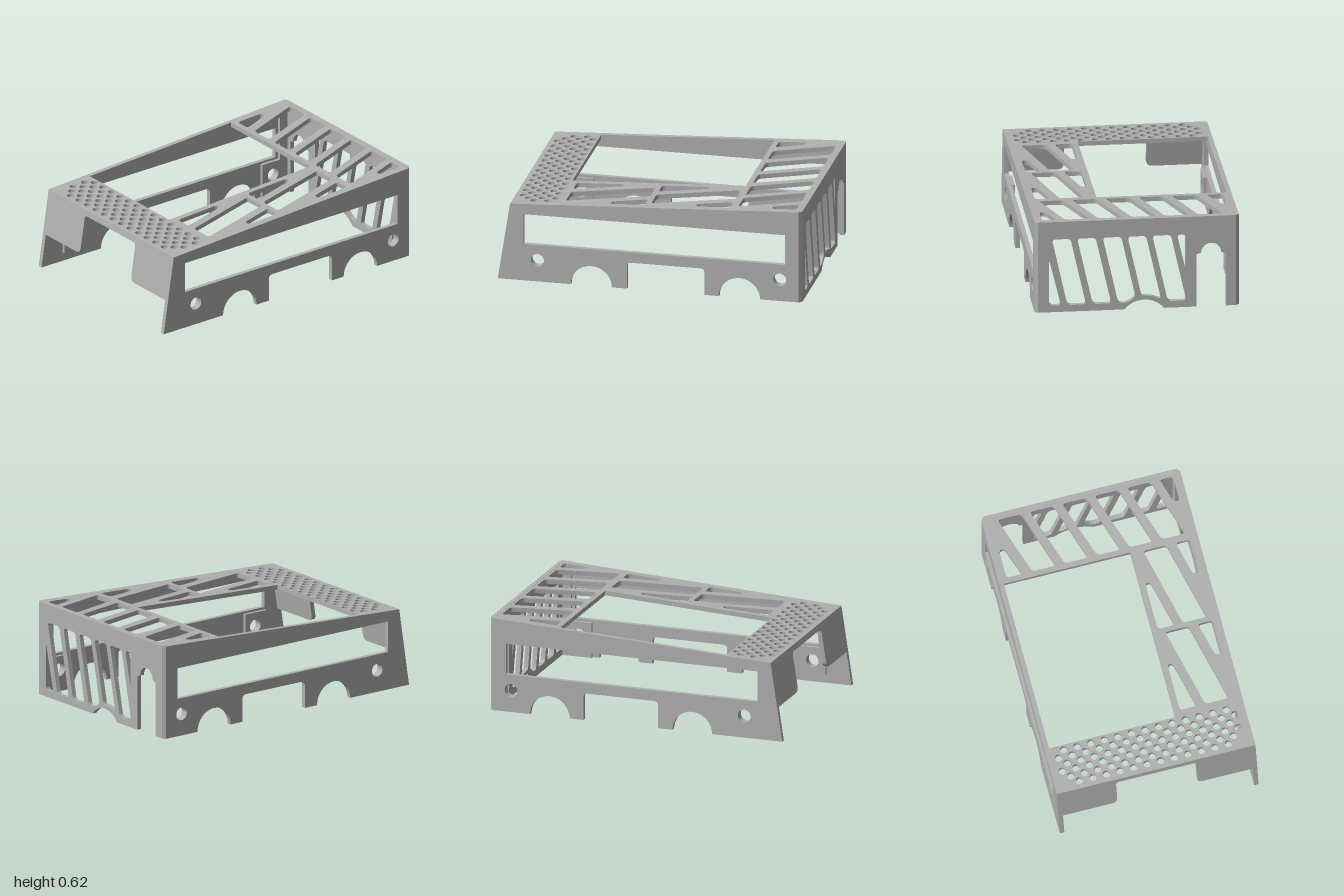
import * as THREE from 'three';
import { toCreasedNormals } from 'three/addons/utils/BufferGeometryUtils.js';

const T = 0.03; // wall thickness

// Closed outline with rounded corners
function rounded(points, r = 0.025, Type = THREE.Path) {
  const path = new Type();
  const p = points.map(([x, y]) => new THREE.Vector2(x, y));
  p.forEach((c, i) => {
    const toward = (q) => {
      const d = q.clone().sub(c);
      return c.clone().add(d.setLength(Math.min(r, d.length() * 0.45)));
    };
    const a = toward(p[(i + p.length - 1) % p.length]);
    const b = toward(p[(i + 1) % p.length]);
    if (i === 0) path.moveTo(a.x, a.y); else path.lineTo(a.x, a.y);
    path.quadraticCurveTo(c.x, c.y, b.x, b.y);
  });
  path.closePath();
  return path;
}

function circle(x, y, r) {
  const path = new THREE.Path();
  path.absarc(x, y, r, 0, Math.PI * 2, false);
  return path;
}

function polygon(points) {
  return new THREE.Shape(points.map(([x, y]) => new THREE.Vector2(x, y)));
}

function extrude(shape, depth = T, curveSegments = 8) {
  return new THREE.ExtrudeGeometry(shape, { depth, bevelEnabled: false, curveSegments });
}

// Move every vertex by a rule
function warp(geometry, rule) {
  const pos = geometry.attributes.position;
  const v = new THREE.Vector3();
  for (let i = 0; i < pos.count; i++) {
    rule(v.fromBufferAttribute(pos, i));
    pos.setXYZ(i, v.x, v.y, v.z);
  }
  return geometry;
}

const roofY = (z) => 0.52 + (0.92 - z) * 0.1 / 1.92;

function sideWall() {
  const s = new THREE.Shape();
  s.moveTo(1, 0);
  s.lineTo(0.92, 0.52);
  s.lineTo(-0.98, roofY(-0.98));
  s.lineTo(-0.98, 0);
  s.lineTo(-0.725, 0);
  s.absarc(-0.59, 0, 0.135, Math.PI, 0, true);
  s.lineTo(-0.36, 0);
  s.lineTo(-0.36, 0.15);
  s.quadraticCurveTo(-0.36, 0.18, -0.33, 0.18);
  s.lineTo(0.12, 0.18);
  s.quadraticCurveTo(0.15, 0.18, 0.15, 0.15);
  s.lineTo(0.15, 0);
  s.lineTo(0.25, 0);
  s.absarc(0.385, 0, 0.135, Math.PI, 0, true);
  s.closePath();
  s.holes.push(
    new THREE.Path([[-0.89, 0.25], [0.83, 0.25], [0.83, 0.455], [-0.89, 0.455]].map((p) => new THREE.Vector2(...p))),
    circle(0.74, 0.145, 0.043), circle(-0.855, 0.145, 0.043));
  return extrude(s, T, 24).rotateY(-Math.PI / 2);
}

// Inner reinforcement around a screw hole
function pad(points, z) {
  const s = polygon(points);
  s.holes.push(circle(z, 0.145, 0.043));
  return extrude(s, 0.022, 16).rotateY(-Math.PI / 2);
}

function roof() {
  const flip = (pts) => pts.map(([x, z]) => [x, -z]);
  const s = polygon(flip([[-0.63, 0.92], [0.63, 0.92], [0.63, -0.99], [-0.63, -0.99]]));
  const slot = (pts) => s.holes.push(rounded(flip(pts)));
  // main opening
  s.holes.push(polygon(flip([[-0.629, -0.53], [0.21, -0.53], [0.21, 0.61], [-0.629, 0.61]])));
  // rear row of slanted slots
  for (let i = 0; i < 5; i++) {
    const x = -0.56 + i * 0.215;
    slot([[x, -0.955], [x + 0.16, -0.955], [x + 0.285, -0.565], [x + 0.13, -0.565]]);
  }
  slot([[0.515, -0.955], [0.607, -0.955], [0.607, -0.79], [0.568, -0.79]]);
  slot([[-0.602, -0.755], [-0.565, -0.755], [-0.498, -0.565], [-0.602, -0.565]]);
  // two cells beside the opening
  for (const z of [-0.52, 0.042]) {
    slot([[0.292, z], [0.448, z], [0.575, z + 0.53], [0.418, z + 0.53]]);
    slot([[0.25, z + 0.215], [0.285, z + 0.215], [0.362, z + 0.53], [0.25, z + 0.53]]);
    slot([[0.508, z], [0.607, z], [0.607, z + 0.228], [0.565, z + 0.228]]);
  }
  // perforated front strip
  for (let row = 0; row < 6; row++) {
    const odd = row % 2;
    const count = row === 5 ? 12 : 13 + odd;
    for (let i = 0; i < count; i++) {
      s.holes.push(circle((i - (count - 1) / 2) * 0.09, -(0.643 + row * 0.0452), 0.024));
    }
  }
  const g = extrude(s, T, 6).rotateX(-Math.PI / 2);
  return warp(g, (v) => { v.y += roofY(v.z) - T; });
}

function frontPanel() {
  const s = new THREE.Shape();
  s.moveTo(-0.63, 0.52);
  s.lineTo(-0.63, 0.222);
  s.lineTo(-0.31, 0.222);
  s.quadraticCurveTo(-0.268, 0.222, -0.268, 0.264);
  s.lineTo(-0.268, 0.455);
  s.quadraticCurveTo(-0.268, 0.48, -0.243, 0.48);
  s.lineTo(0.24, 0.48);
  s.quadraticCurveTo(0.265, 0.48, 0.265, 0.455);
  s.lineTo(0.265, 0.264);
  s.quadraticCurveTo(0.265, 0.222, 0.307, 0.222);
  s.lineTo(0.63, 0.222);
  s.lineTo(0.63, 0.52);
  s.closePath();
  return warp(extrude(s), (v) => { v.z += 1 - T - 0.08 * v.y / 0.52; });
}

function backPanel() {
  const s = new THREE.Shape();
  s.moveTo(-0.64, 0);
  // keyhole doorway
  s.lineTo(-0.575, 0);
  s.lineTo(-0.575, 0.36);
  s.lineTo(-0.545, 0.37);
  s.absarc(-0.48, 0.37, 0.065, Math.PI, 0, true);
  s.lineTo(-0.385, 0.36);
  s.lineTo(-0.385, 0);
  // low arch
  s.lineTo(-0.175, 0);
  const a = Math.atan2(0.1, 0.1275);
  s.absarc(-0.0475, -0.1, 0.162, Math.PI - a, a, true);
  s.lineTo(0.64, 0);
  s.lineTo(0.64, 0.62);
  s.lineTo(-0.64, 0.62);
  s.closePath();
  // slanted vents: x at the low edge, leaning toward +x
  const lo = 0.045, hi = 0.5;
  const at = (x, y) => [x + 0.22 * (y - lo), y];
  const vents = [
    [[-0.315, 0.26], at(-0.36, hi), [-0.315, hi]],
    [[-0.32, lo], [-0.2, lo], at(-0.2, hi), at(-0.32, hi)],
    [at(-0.16, 0.06), [-0.1, 0.083], [-0.048, 0.09], at(-0.04, 0.088), at(-0.04, hi), at(-0.16, hi)],
    [at(0, 0.083), [0.07, lo], [0.12, lo], at(0.12, hi), at(0, hi)],
    [[0.165, lo], [0.285, lo], at(0.285, hi), at(0.165, hi)],
    [[0.328, lo], [0.448, lo], at(0.448, hi), at(0.328, hi)],
    [[0.49, lo], [0.566, lo], [0.566, 0.36]],
  ];
  for (const v of vents) s.holes.push(rounded(v));
  return extrude(s, T, 12).translate(0, 0, -1);
}

export function createModel() {
  const model = new THREE.Group();
  model.name = 'ventedCover';
  const grey = new THREE.MeshStandardMaterial({ color: 0xb0b0b0 });
  grey.name = 'grey';

  const add = (name, geometry, x = 0) => {
    const mesh = new THREE.Mesh(toCreasedNormals(geometry, 0.6), grey);
    mesh.name = name;
    mesh.position.x = x;
    model.add(mesh);
  };

  add('roof', roof());
  add('frontPanel', frontPanel());
  add('backPanel', backPanel());

  for (const [side, sign] of [['left', 1], ['right', -1]]) {
    add(side + 'Wall', sideWall(), sign > 0 ? 0.66 : -0.63);
    // hole reinforcements and rear corner post
    const x = sign > 0 ? 0.63 : -0.608;
    add(side + 'FrontPad', pad([[0.66, 0.06], [0.83, 0.06], [0.83, 0.235], [0.66, 0.235]], 0.74), x);
    add(side + 'RearPad', pad([[-0.97, 0], [-0.77, 0], [-0.77, 0.235], [-0.91, 0.235], [-0.91, 0.59], [-0.97, 0.59]], -0.855), x);
    // chamfered rear corner
    const corner = polygon([[sign * 0.66, 0.98], [sign * 0.64, 1], [sign * 0.64, 0.98]]);
    add(side + 'Corner', extrude(corner, 0.62).rotateX(-Math.PI / 2));
  }
  return model;
}
